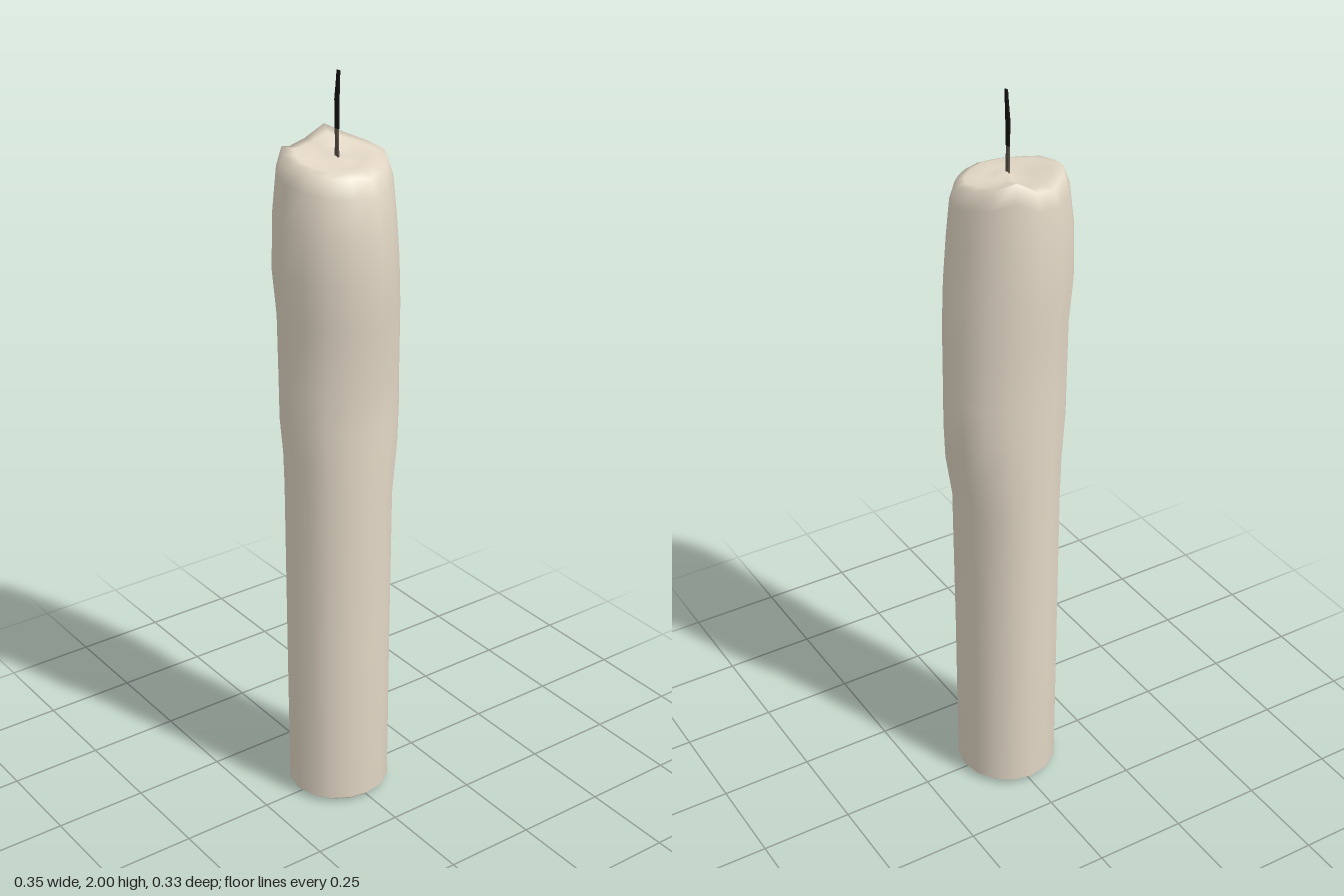
import * as THREE from 'three';

const SIDES = 16;

// Candle body rings from foot to rim: height, then reach to left (+x), right (-x), front (+z), back (-z)
const BODY = [
  [0.0, 0.115, 0.125, 0.115, 0.125],
  [0.015, 0.13, 0.145, 0.13, 0.142],
  [0.5, 0.132, 0.146, 0.131, 0.147],
  [0.9, 0.136, 0.147, 0.132, 0.15],
  [1.02, 0.158, 0.151, 0.133, 0.151],
  [1.12, 0.167, 0.161, 0.133, 0.152],
  [1.22, 0.171, 0.162, 0.137, 0.153],
  [1.4, 0.171, 0.164, 0.16, 0.157],
  [1.52, 0.163, 0.175, 0.168, 0.166],
  [1.64, 0.152, 0.172, 0.164, 0.164],
  [1.74, 0.143, 0.158, 0.146, 0.158],
  [1.785, 0.13, 0.14, 0.122, 0.15],
];

// Uneven height of the melted rim, one value per side, starting at +x and turning to the front
const RIM = [0, -0.005, -0.01, -0.013, -0.015, -0.012, -0.008, 0.002, 0.008, 0.018, 0.022, 0.006, 0.014, 0.045, 0.022, 0.01];

// Stacks rings of points and closes the last one with a fan to the end point
function skin(rings, end) {
  const pos = [], index = [];
  rings.forEach((ring) => ring.forEach((p) => pos.push(...p)));
  pos.push(...end);
  const tip = rings.length * SIDES;
  for (let j = 0; j < rings.length; j++) {
    for (let i = 0; i < SIDES; i++) {
      const k = (i + 1) % SIDES;
      const a = j * SIDES + i, b = j * SIDES + k;
      if (j === rings.length - 1) index.push(a, tip, b);
      else index.push(a, a + SIDES, b, b, a + SIDES, b + SIDES);
    }
  }
  const g = new THREE.BufferGeometry();
  g.setAttribute('position', new THREE.Float32BufferAttribute(pos, 3));
  g.setIndex(index);
  g.computeVertexNormals();
  return g;
}

function bodyRing([y, left, right, front, back]) {
  const melt = THREE.MathUtils.smoothstep(y, 1.5, 1.785);
  const swell = THREE.MathUtils.smoothstep(y, 0.9, 1.4);
  return RIM.map((lift, i) => {
    const a = (i / SIDES) * Math.PI * 2;
    const c = Math.cos(a), s = Math.sin(a);
    // the wax stays flat between the front and left drips
    const flat = c > 0 && s > 0 ? 1 - 0.13 * swell * Math.sin(2 * a) : 1;
    return [c * (c > 0 ? left : right) * flat, y + lift * melt, s * (s > 0 ? front : back) * flat];
  });
}

// Thin tapering strip, facing sideways, following points of [x, y, z, half width]
function strip(points) {
  const pos = [], index = [];
  const t = 0.002;
  points.forEach(([x, y, z, w]) => pos.push(x + t, y, z - w, x + t, y, z + w, x - t, y, z + w, x - t, y, z - w));
  for (let j = 0; j < points.length - 1; j++) {
    for (let i = 0; i < 4; i++) {
      const a = j * 4 + i, b = j * 4 + ((i + 1) % 4);
      index.push(a, a + 4, b, b, a + 4, b + 4);
    }
  }
  const e = (points.length - 1) * 4;
  index.push(e, e + 2, e + 1, e, e + 3, e + 2);
  const g = new THREE.BufferGeometry();
  g.setAttribute('position', new THREE.Float32BufferAttribute(pos, 3));
  g.setIndex(index);
  const faceted = g.toNonIndexed();
  faceted.computeVertexNormals();
  return faceted;
}

function material(name, color) {
  const m = new THREE.MeshStandardMaterial({ color });
  m.name = name;
  return m;
}

export function createModel() {
  const wax = material('wax', 0xe3d8c6);
  const cord = material('wickCord', 0x5b5349);
  const char = material('charredWick', 0x171412);

  const group = new THREE.Group();
  group.name = 'candle';
  const add = (name, geometry, mat) => {
    const mesh = new THREE.Mesh(geometry, mat);
    mesh.name = name;
    group.add(mesh);
  };

  // Body with drips, rolling over the rim onto the nearly flat melted top
  const rings = BODY.map(bodyRing);
  const foot = rings[0];
  const rim = rings[rings.length - 1];
  for (const [scale, y, keep] of [[0.8, 1.79, 0.6], [0.5, 1.785, 0.3], [0.2, 1.783, 0]]) {
    rings.push(rim.map(([x, , z], i) => [x * scale, y + RIM[i] * keep, z * scale]));
  }
  add('waxBody', skin(rings, [-0.008, 1.795, -0.006]), wax);

  // Underside: the foot ring turned the other way round so that it faces down
  add('underside', skin([[...foot].reverse()], [0, 0, 0]), wax);

  // Wick: pale cord near the wax, burnt above
  add('wickCord', strip([[-0.009, 1.77, -0.004, 0.008], [-0.009, 1.82, -0.003, 0.006], [-0.008, 1.86, -0.005, 0.006]]), cord);
  add('wickTip', strip([[-0.008, 1.86, -0.005, 0.007], [-0.007, 1.93, -0.006, 0.008], [-0.005, 1.97, -0.005, 0.006], [-0.004, 2.0, -0.004, 0.005]]), char);
  return group;
}
